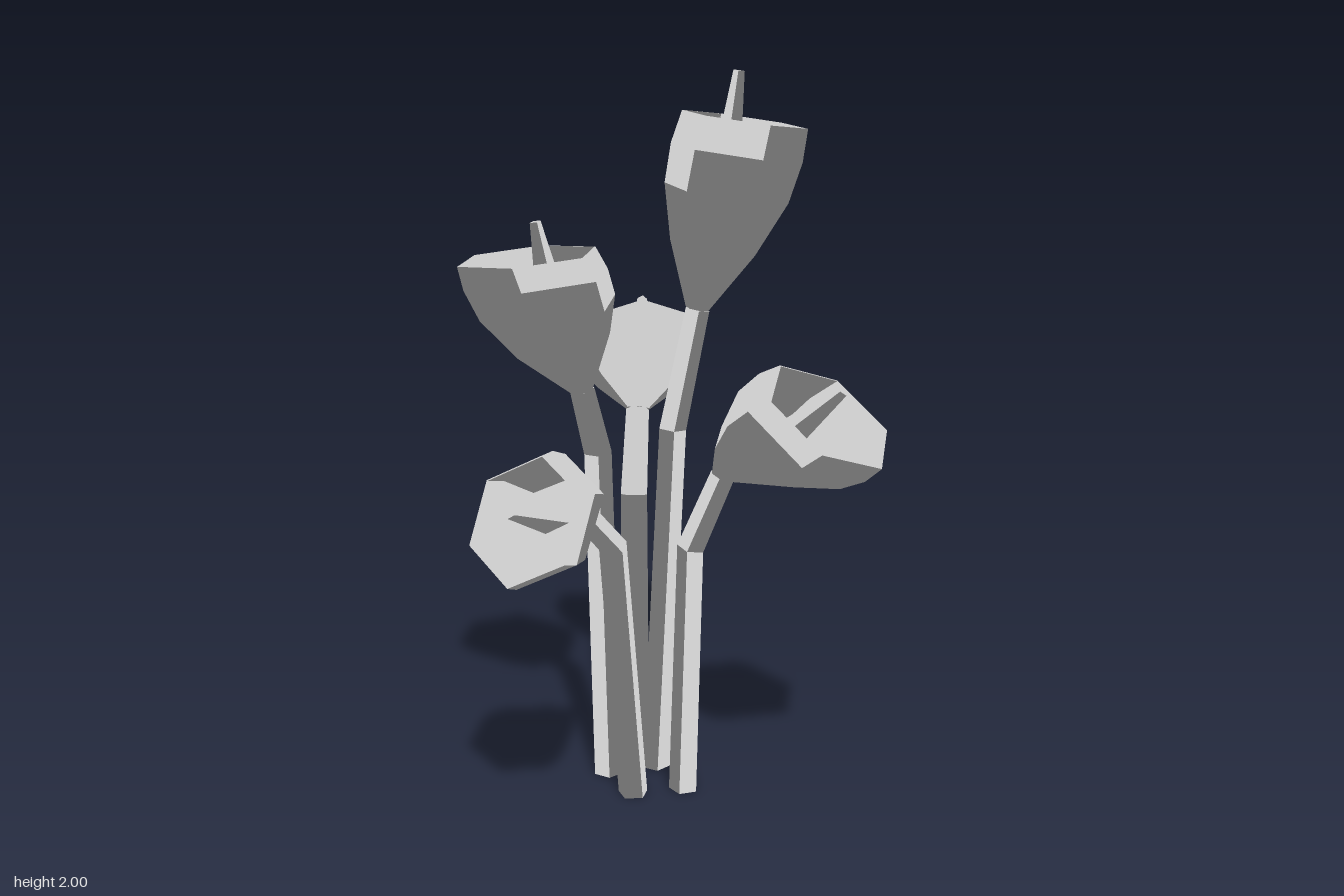
import * as THREE from 'three';

const V = (a) => new THREE.Vector3(...a);
const UP = new THREE.Vector3(0, 1, 0);
const material = new THREE.MeshStandardMaterial({ color: 0xcccccc, side: THREE.DoubleSide });

// Skin a list of rings { c: centre, n: normal, r: radius }; lean sets where corner 0 points.
// Every vertex shares one soft upward shading normal, tipped slightly towards the lean.
function loft(name, rings, sides, lean) {
  const pos = [], normals = [], index = [];
  const shade = UP.clone().addScaledVector(lean, 0.06).normalize();
  for (const { c, n, r } of rings) {
    const u = lean.clone().addScaledVector(n, -lean.dot(n)).normalize();
    const v = n.clone().cross(u);
    for (let j = 0; j < sides; j++) {
      const a = (j / sides) * Math.PI * 2;
      const p = c.clone().addScaledVector(u, r * Math.cos(a)).addScaledVector(v, r * Math.sin(a));
      pos.push(p.x, p.y, p.z);
      normals.push(shade.x, shade.y, shade.z);
    }
  }
  const last = rings.length - 1;
  for (let i = 0; i < last; i++) {
    for (let j = 0; j < sides; j++) {
      const k = (j + 1) % sides;
      const a = i * sides + j, b = i * sides + k;
      index.push(a, b, b + sides, a, b + sides, a + sides);
    }
  }
  // end caps
  for (let j = 1; j < sides - 1; j++) {
    index.push(0, j + 1, j);
    index.push(last * sides, last * sides + j, last * sides + j + 1);
  }
  const geo = new THREE.BufferGeometry();
  geo.setAttribute('position', new THREE.Float32BufferAttribute(pos, 3));
  geo.setAttribute('normal', new THREE.Float32BufferAttribute(normals, 3));
  geo.setIndex(index);
  const mesh = new THREE.Mesh(geo, material);
  mesh.name = name;
  return mesh;
}

// Cup section: [position from stem to rim, relative radius]; outside, then back down inside
const CUP = [[0, 0.18], [0.33, 0.66], [0.62, 0.95], [0.83, 1], [1, 0.95], [1, 0.93], [0.75, 0.88], [0.48, 0.55]];

function flower(name, { foot, bend, neck, rim, facing, radius, tip }) {
  const group = new THREE.Group();
  group.name = name;
  const [p0, p1, p2, p3] = [foot, bend, neck, rim].map(V);
  const n = V(facing).normalize();
  const lean = new THREE.Vector3(n.x, 0, n.z).normalize();
  const upper = p2.clone().sub(p1).normalize();

  // bent stem
  group.add(loft('stem', [
    { c: p0, n: UP, r: 0.043 },
    { c: p1, n: UP.clone().add(upper).normalize(), r: 0.04 },
    { c: p2, n: upper, r: 0.035 },
  ], 5, lean));

  // flared cup, turning from the stem direction to the rim direction
  const at = (t) => p2.clone().lerp(p3, t);
  group.add(loft('cup', CUP.map(([t, r]) => ({
    c: at(t), n: upper.clone().lerp(n, Math.min(1, t * 1.3)).normalize(), r: r * radius,
  })), 6, lean));

  // tapered spike rising from the cup floor
  const top = V(tip), floor = at(0.48);
  const dir = top.clone().sub(floor).normalize();
  group.add(loft('spike', [
    { c: floor, n: dir, r: 0.05 },
    { c: top, n: dir, r: 0.015 },
  ], 4, lean));
  return group;
}

const FLOWERS = {
  tallFlower: {
    foot: [-0.125, 0, -0.12], bend: [-0.08, 1.03, -0.14], neck: [-0.015, 1.37, -0.165],
    rim: [0.1, 1.875, -0.215], facing: [0.13, 1, -0.06], radius: 0.178, tip: [0.09, 2, -0.2],
  },
  frontRightFlower: {
    foot: [-0.213, 0, -0.005], bend: [-0.213, 0.98, 0.03], neck: [-0.21, 1.17, 0.1],
    rim: [-0.29, 1.53, 0.22], facing: [-0.05, 1, 0.08], radius: 0.2, tip: [-0.27, 1.62, 0.21],
  },
  backRightFlower: {
    foot: [-0.2, 0, -0.125], bend: [-0.205, 0.82, -0.13], neck: [-0.255, 1.05, -0.22],
    rim: [-0.435, 1.22, -0.485], facing: [-0.4, 0.75, -0.5], radius: 0.2, tip: [-0.455, 1.32, -0.525],
  },
  leftFlower: {
    foot: [0.027, 0, -0.045], bend: [0.05, 0.73, -0.045], neck: [0.15, 0.95, -0.047],
    rim: [0.465, 1.15, -0.05], facing: [0.6, 0.8, 0.02], radius: 0.2, tip: [0.5, 1.22, -0.05],
  },
  frontFlower: {
    foot: [-0.075, 0, 0.063], bend: [-0.07, 0.76, 0.155], neck: [-0.06, 0.9, 0.31],
    rim: [-0.02, 0.945, 0.575], facing: [0.04, 0.45, 0.89], radius: 0.175, tip: [-0.02, 0.98, 0.63],
  },
};

export function createModel() {
  const model = new THREE.Group();
  model.name = 'flowers';
  for (const [name, spec] of Object.entries(FLOWERS)) model.add(flower(name, spec));
  return model;
}
